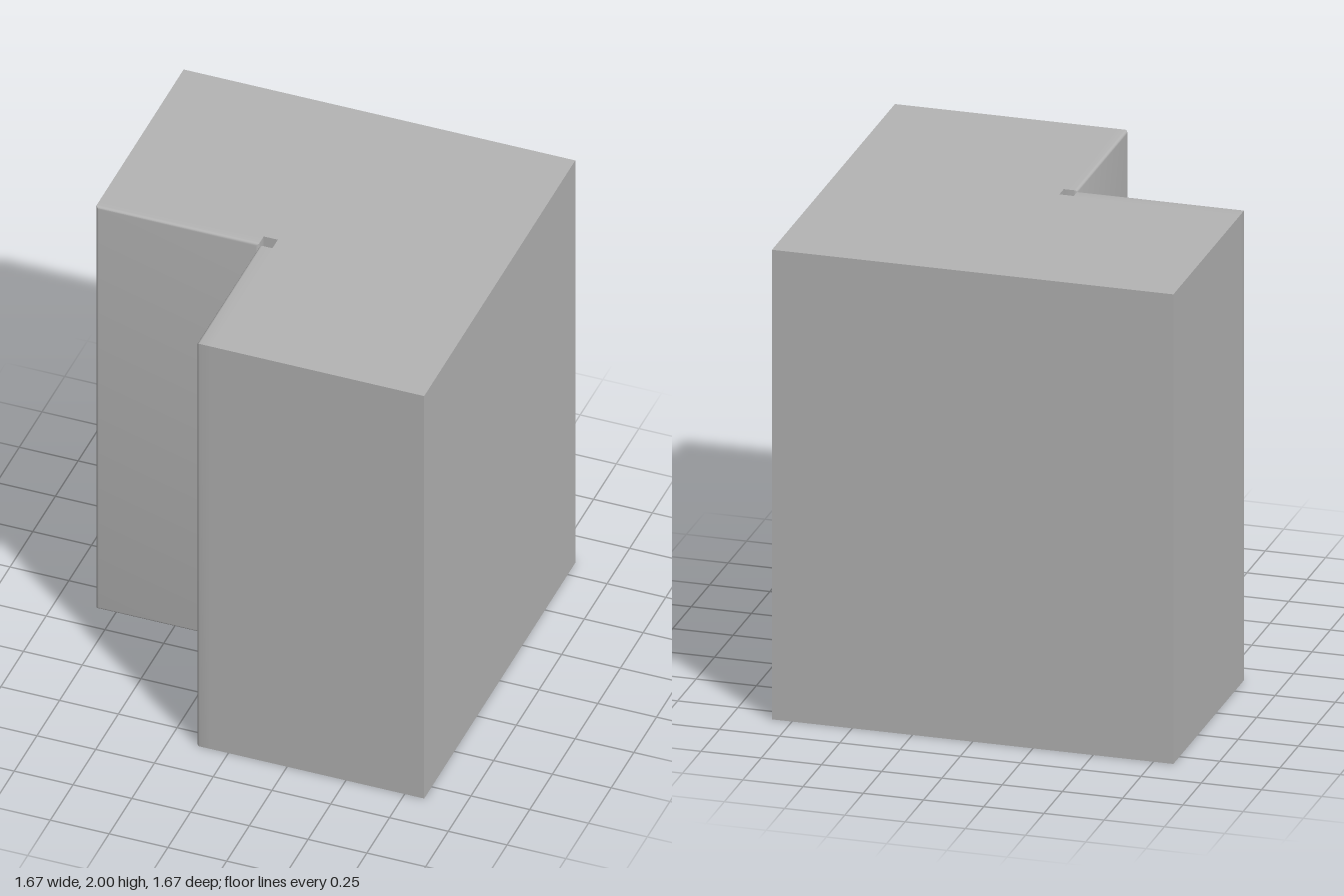
import * as THREE from 'three';
import { toCreasedNormals } from 'three/addons/utils/BufferGeometryUtils.js';

const HALF = 0.833;      // half width and half depth
const HEIGHT = 2;
const INNER = 0.08;      // offset of the inner corner of the L
const THICK = 0.055;     // door thickness
const DOOR_START = 0.14; // door edge nearest the inner corner
const RADIUS = 0.012;    // rounding of the door's front edges

// Panel facing +z, back on z = 0, with its front edges rounded over.
function panelGeometry(w, h, depth, r) {
  const rings = [[0, 0]];
  const steps = 4;
  for (let i = 0; i <= steps; i++) {
    const a = (i / steps) * Math.PI / 2;
    rings.push([r * (1 - Math.cos(a)), depth - r + r * Math.sin(a)]);
  }
  const pos = [], index = [];
  for (const [inset, z] of rings) {
    const x = w / 2 - inset, y = h / 2 - inset;
    pos.push(-x, -y, z, x, -y, z, x, y, z, -x, y, z);
  }
  for (let k = 0; k < rings.length - 1; k++) {
    for (let j = 0; j < 4; j++) {
      const a = k * 4 + j, b = k * 4 + (j + 1) % 4;
      index.push(a, b, b + 4, a, b + 4, a + 4);
    }
  }
  const f = (rings.length - 1) * 4;
  index.push(f, f + 1, f + 2, f, f + 2, f + 3); // front
  index.push(0, 2, 1, 0, 3, 2);                 // back
  const g = new THREE.BufferGeometry();
  g.setAttribute('position', new THREE.Float32BufferAttribute(pos, 3));
  g.setIndex(index);
  return toCreasedNormals(g, 0.6);
}

export function createModel() {
  const group = new THREE.Group();
  group.name = 'cornerCabinet';
  const grey = new THREE.MeshStandardMaterial({ color: 0xb4b4b4 });
  grey.name = 'grey';

  // L-shaped body, drawn in plan (shape y = -z) and extruded upwards
  const plan = new THREE.Shape([
    [-HALF, HALF], [-HALF, -INNER], [-INNER, -INNER],
    [-INNER, -HALF], [HALF, -HALF], [HALF, HALF],
  ].map(([x, y]) => new THREE.Vector2(x, y)));
  const bodyGeometry = new THREE.ExtrudeGeometry(plan, { depth: HEIGHT, bevelEnabled: false });
  bodyGeometry.rotateX(-Math.PI / 2);
  const body = new THREE.Mesh(bodyGeometry, grey);
  body.name = 'body';
  group.add(body);

  // Two doors meeting at the inner corner
  const doorGeometry = panelGeometry(HALF - DOOR_START, HEIGHT, THICK, RADIUS);
  const centre = (HALF + DOOR_START) / 2;
  const frontDoor = new THREE.Mesh(doorGeometry, grey);
  frontDoor.name = 'frontDoor';
  frontDoor.position.set(-centre, HEIGHT / 2, INNER);
  const sideDoor = new THREE.Mesh(doorGeometry, grey);
  sideDoor.name = 'sideDoor';
  sideDoor.position.set(-INNER, HEIGHT / 2, centre);
  sideDoor.rotation.y = -Math.PI / 2;
  group.add(frontDoor, sideDoor);

  return group;
}
